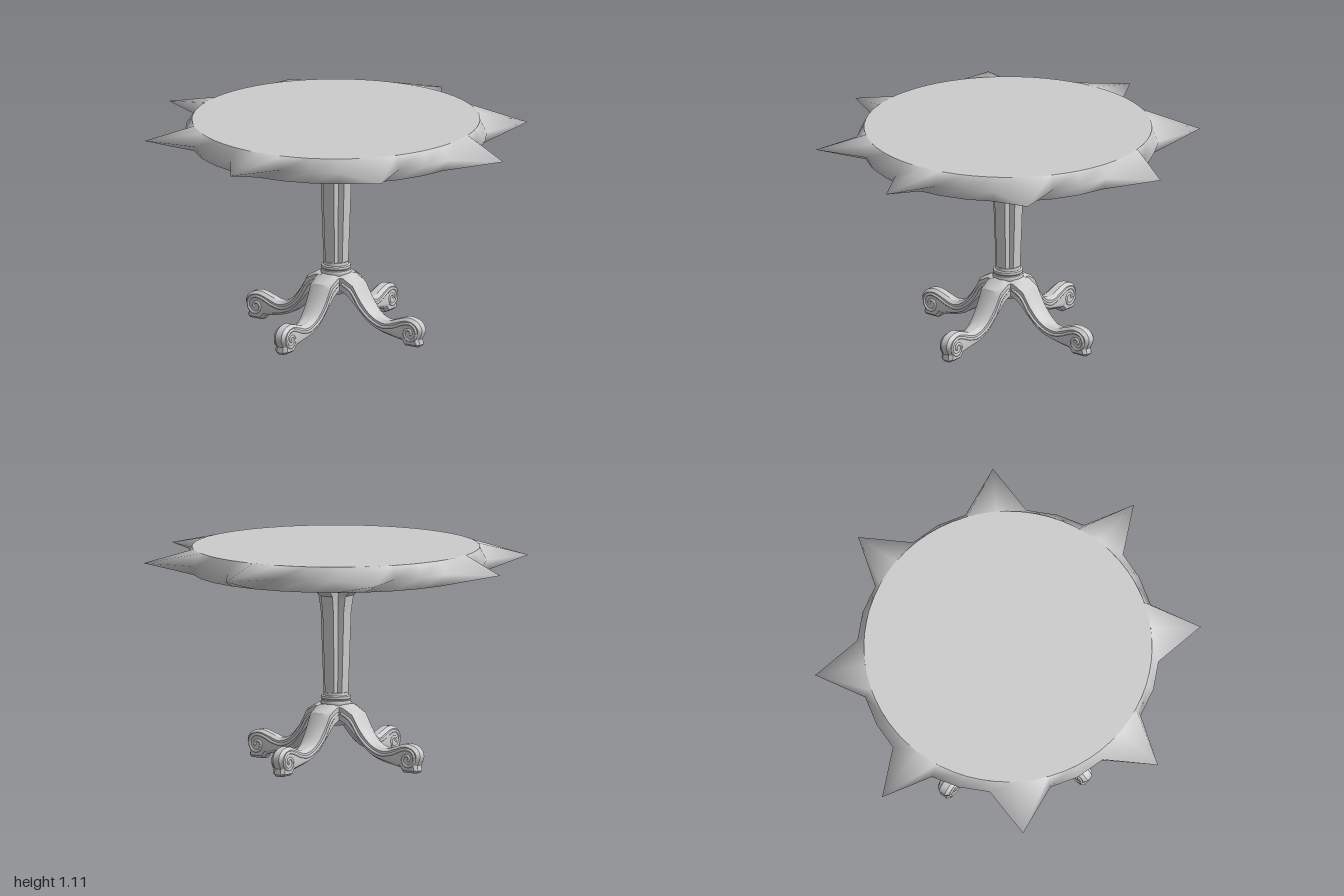
import * as THREE from 'three';
import { toCreasedNormals } from 'three/addons/utils/BufferGeometryUtils.js';

const material = new THREE.MeshStandardMaterial({ color: 0xcccccc });

function mesh(name, geometry) {
  const m = new THREE.Mesh(geometry, material);
  m.name = name;
  return m;
}

// Skin closed rings, listed from bottom to top; each ring is { y, pts: [[x, z], ...] }
function loft(rings) {
  const n = rings[0].pts.length;
  const pos = [], index = [];
  for (const { y, pts } of rings) for (const [x, z] of pts) pos.push(x, y, z);
  for (let j = 0; j < rings.length - 1; j++) {
    for (let i = 0; i < n; i++) {
      const a = j * n + i, c = j * n + (i + 1) % n;
      index.push(a, a + n, c, c, a + n, c + n);
    }
  }
  const g = new THREE.BufferGeometry();
  g.setAttribute('position', new THREE.Float32BufferAttribute(pos, 3));
  g.setIndex(index);
  g.computeVertexNormals();
  return g;
}

// Repeat a half outline (angles 0 to 180 degrees) rotated for the other half
const bothHalves = (pts) => [...pts, ...pts.map(([x, z]) => [-x, -z])];

// Eight-pointed star rim around a round, flat board
function tableTop() {
  const group = new THREE.Group();
  group.name = 'tableTop';
  const quarter = [[1, 0], [0.76, 0.125], [0.717, 0.265], [0.64, 0.4],
    [0.706, 0.668], [0.43, 0.62], [0.3, 0.693], [0.15, 0.732]];
  const mirrored = quarter.slice(1).reverse().map(([x, z]) => [-x, z]);
  const star = bothHalves([...quarter, [0, 0.963], ...mirrored]);
  const circle = star.map(([x, z]) => {
    const k = 0.72 / Math.hypot(x, z);
    return [x * k, z * k];
  });
  const low = 0.975, high = 1.105;
  group.add(mesh('starRim', loft([
    { y: low, pts: circle }, { y: 1.04, pts: star }, { y: high, pts: circle }])));

  const surface = new THREE.CircleGeometry(0.72, 64).rotateX(-Math.PI / 2);
  const top = mesh('topSurface', surface);
  top.position.y = high;
  const underside = mesh('underside', surface.clone().rotateX(Math.PI));
  underside.position.y = low;
  group.add(top, underside);
  return group;
}

// Cross-shaped column whose four arms flare into brackets under the board
function column() {
  const levels = [ // y, arm reach, arm half width, inner corner
    [0.35, 0.055, 0.028, 0.034], [0.6, 0.064, 0.031, 0.038], [0.78, 0.07, 0.033, 0.041],
    [0.86, 0.082, 0.036, 0.045], [0.885, 0.11, 0.042, 0.048], [0.91, 0.165, 0.053, 0.052],
    [0.935, 0.25, 0.07, 0.057], [0.978, 0.33, 0.087, 0.064]];
  const rings = levels.map(([y, r, w, c]) => ({
    y, pts: bothHalves([[r, -w], [r, w], [c, c], [w, r], [-w, r], [-c, c]]),
  }));
  // start each ring at the inner corner before the +x arm
  for (const ring of rings) ring.pts = [...ring.pts.slice(-1), ...ring.pts.slice(0, -1)];
  return mesh('column', toCreasedNormals(loft(rings), 0.35));
}

// Turned collar and the hub that joins the legs
function collar() {
  const profile = [[0, 0.2], [0.045, 0.205], [0.066, 0.235], [0.068, 0.3], [0.074, 0.305],
    [0.077, 0.318], [0.074, 0.33], [0.07, 0.333], [0.075, 0.34], [0.074, 0.352],
    [0.064, 0.356], [0.062, 0.37], [0, 0.37]].map(([x, y]) => new THREE.Vector2(x, y));
  return mesh('collar', toCreasedNormals(new THREE.LatheGeometry(profile, 32), 0.5));
}

// Half width of a leg at a given distance from the centre
const legWidth = (x) => THREE.MathUtils.lerp(0.064, 0.035, THREE.MathUtils.smoothstep(x, 0.06, 0.42));

function legBody() {
  const v = (list) => list.map(([x, y]) => new THREE.Vector2(x, y));
  const shape = new THREE.Shape();
  shape.moveTo(0.03, 0.315);
  shape.lineTo(0.085, 0.315);
  shape.lineTo(0.148, 0.28);
  shape.splineThru(v([[0.2, 0.195], [0.257, 0.135], [0.32, 0.112], [0.375, 0.127],
    [0.44, 0.145], [0.5, 0.13], [0.526, 0.088], [0.507, 0.04]]));
  shape.lineTo(0.512, 0.012);
  shape.lineTo(0.5, 0);
  shape.lineTo(0.425, 0);
  shape.lineTo(0.405, 0.025);
  shape.splineThru(v([[0.35, 0.035], [0.28, 0.053], [0.22, 0.085], [0.15, 0.155],
    [0.095, 0.21], [0.03, 0.235]]));
  const g = new THREE.ExtrudeGeometry(shape, {
    depth: 1, curveSegments: 3, bevelEnabled: true, bevelThickness: 0.5,
    bevelSize: 0.013, bevelOffset: -0.013, bevelSegments: 1,
  });
  // taper the unit thickness towards the foot
  const p = g.attributes.position;
  for (let i = 0; i < p.count; i++) p.setZ(i, (p.getZ(i) - 0.5) * legWidth(p.getX(i)));
  return mesh('legBody', toCreasedNormals(g, 0.5));
}

// Raised moulding that runs down the side of the leg and curls into a scroll
function scroll(side) {
  const path = [[0.075, 0.275], [0.125, 0.245], [0.18, 0.165], [0.235, 0.112],
    [0.3, 0.083], [0.36, 0.09], [0.41, 0.11]];
  const turns = 14;
  for (let i = 0; i <= turns; i++) {
    const t = i / turns, a = 1.9 - t * 9, r = 0.044 * (1 - t) + 0.008;
    path.push([0.458 + r * Math.cos(a), 0.07 + r * Math.sin(a)]);
  }
  const curve = new THREE.CatmullRomCurve3(
    path.map(([x, y]) => new THREE.Vector3(x, y, side * legWidth(x))));
  return mesh('scroll', new THREE.TubeGeometry(curve, 90, 0.0075, 6));
}

function leg() {
  const group = new THREE.Group();
  group.add(legBody(), scroll(1), scroll(-1));
  return group;
}

export function createModel() {
  const model = new THREE.Group();
  model.name = 'pedestalTable';
  model.add(tableTop(), column(), collar());
  const firstLeg = leg();
  ['leftLeg', 'backLeg', 'rightLeg', 'frontLeg'].forEach((name, i) => {
    const l = firstLeg.clone();
    l.name = name;
    l.rotation.y = i * Math.PI / 2;
    model.add(l);
  });
  return model;
}
